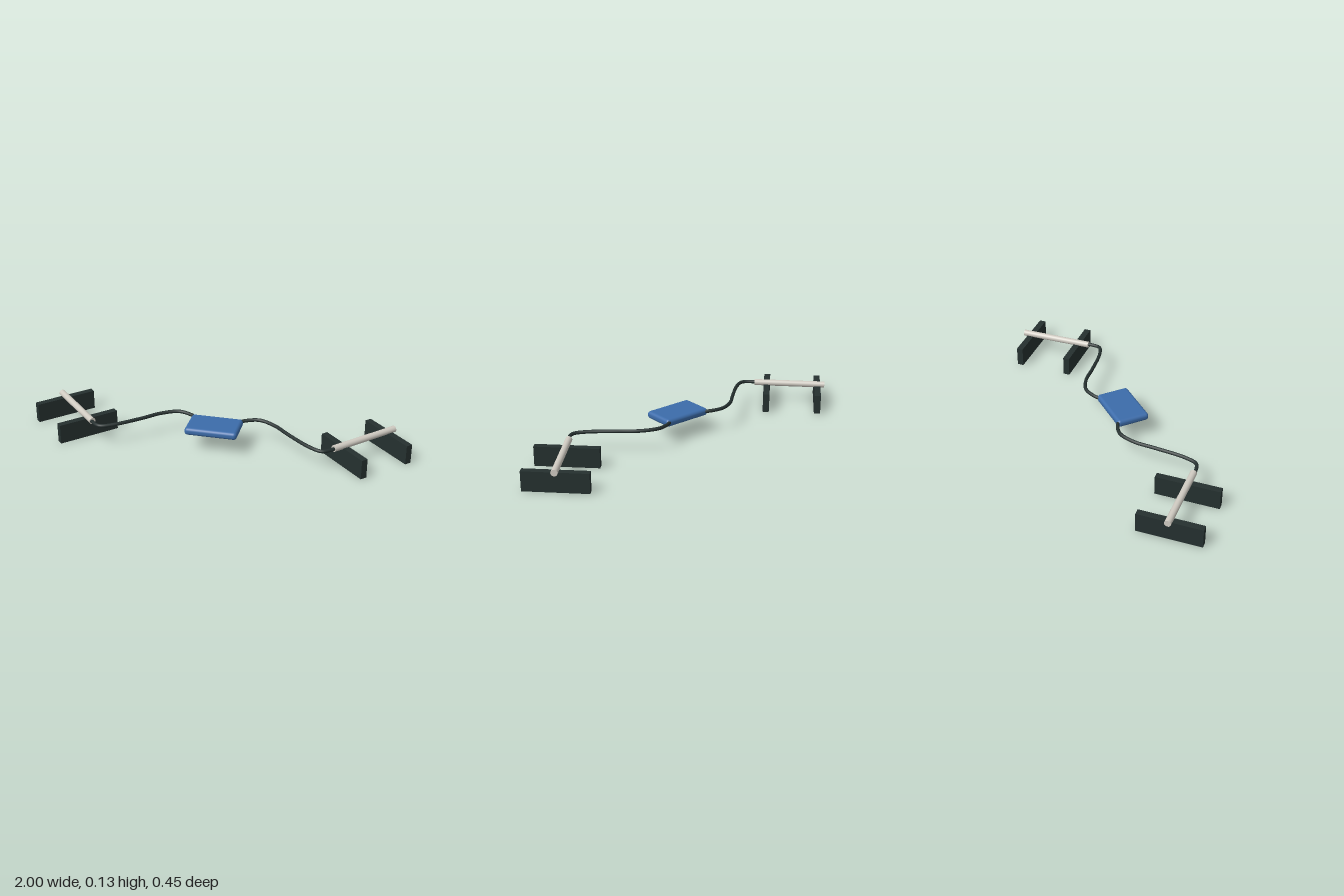
import * as THREE from 'three';
import { RoundedBoxGeometry } from 'three/addons/geometries/RoundedBoxGeometry.js';

export function createModel() {
  const model = new THREE.Group();
  model.name = 'model';

  const mat = (name, color) => {
    const m = new THREE.MeshStandardMaterial({ color });
    m.name = name;
    return m;
  };
  const dark = mat('dark green grey', 0x25302f);
  const pale = mat('pale grey', 0xd0cbc2);
  const blue = mat('blue', 0x3c6caa);

  const add = (parent, name, geometry, material) => {
    const mesh = new THREE.Mesh(geometry, material);
    mesh.name = name;
    parent.add(mesh);
    return mesh;
  };

  // Central padded block
  add(model, 'centralBlock', new RoundedBoxGeometry(0.272, 0.04, 0.175, 4, 0.017), blue)
    .position.set(0, 0.112, 0.07);

  // Each side: two upright plates, a bar across them and a cable to the block
  for (const s of [1, -1]) {
    const side = new THREE.Group();
    side.name = s > 0 ? 'leftSide' : 'rightSide';
    model.add(side);

    const plates = [['innerPlate', 0.673, 0.1], ['outerPlate', 0.872, -0.099]];
    for (const [name, x, z] of plates) {
      const plate = add(side, name, new THREE.BoxGeometry(0.327, 0.103, 0.034), dark);
      plate.position.set(s * x, 0.0515, z);
      plate.rotation.y = -s * Math.PI / 4;
    }

    const start = new THREE.Vector3(s * 0.627, 0.111, 0.151);
    const end = new THREE.Vector3(s * 0.898, 0.111, -0.128);
    const dir = end.clone().sub(start);
    const bar = add(side, 'bar', new THREE.CylinderGeometry(0.017, 0.017, dir.length(), 24), pale);
    bar.position.copy(start).add(end).multiplyScalar(0.5);
    bar.quaternion.setFromUnitVectors(new THREE.Vector3(0, 1, 0), dir.normalize());

    const path = new THREE.CatmullRomCurve3([
      [0.65, 0.111, 0.127], [0.62, 0.111, 0.164], [0.573, 0.112, 0.194], [0.51, 0.113, 0.168],
      [0.385, 0.115, 0.068], [0.3, 0.118, -0.006], [0.214, 0.12, -0.043],
      [0.145, 0.117, -0.026], [0.1, 0.114, 0.005],
    ].map(([x, y, z]) => new THREE.Vector3(s * x, y, z)));
    add(side, 'cable', new THREE.TubeGeometry(path, 72, 0.0092, 12), dark);
  }
  return model;
}
